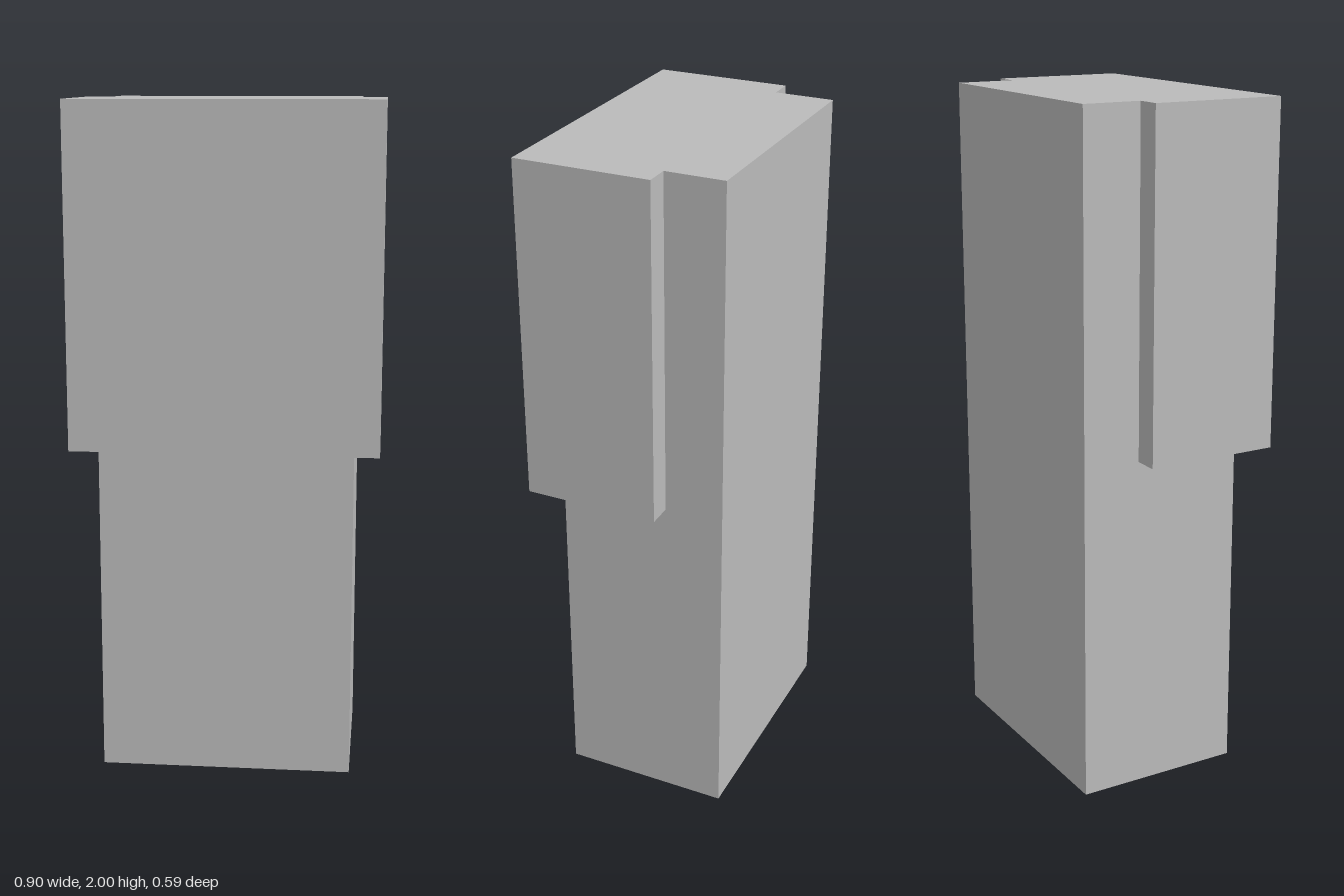
import * as THREE from 'three';

export function createModel() {
  const model = new THREE.Group();
  const grey = new THREE.MeshStandardMaterial({ color: 0xbbbbbb });
  grey.name = 'grey';

  const add = (name, geometry, x, y, z) => {
    const mesh = new THREE.Mesh(geometry, grey);
    mesh.name = name;
    mesh.position.set(x, y, z);
    model.add(mesh);
  };

  // Full-height body with a wider head block over its upper front
  add('body', new THREE.BoxGeometry(0.75, 2, 0.5), 0, 1, -0.045);
  add('head', new THREE.BoxGeometry(0.9, 1, 0.4), 0, 1.5, 0.08);

  // Flat twelve-sided eyes just in front of the face
  for (const [name, side] of [['leftEye', 1], ['rightEye', -1]]) {
    add(name, new THREE.CircleGeometry(0.125, 12), side * 0.2, 1.625, 0.295);
  }

  return model;
}
